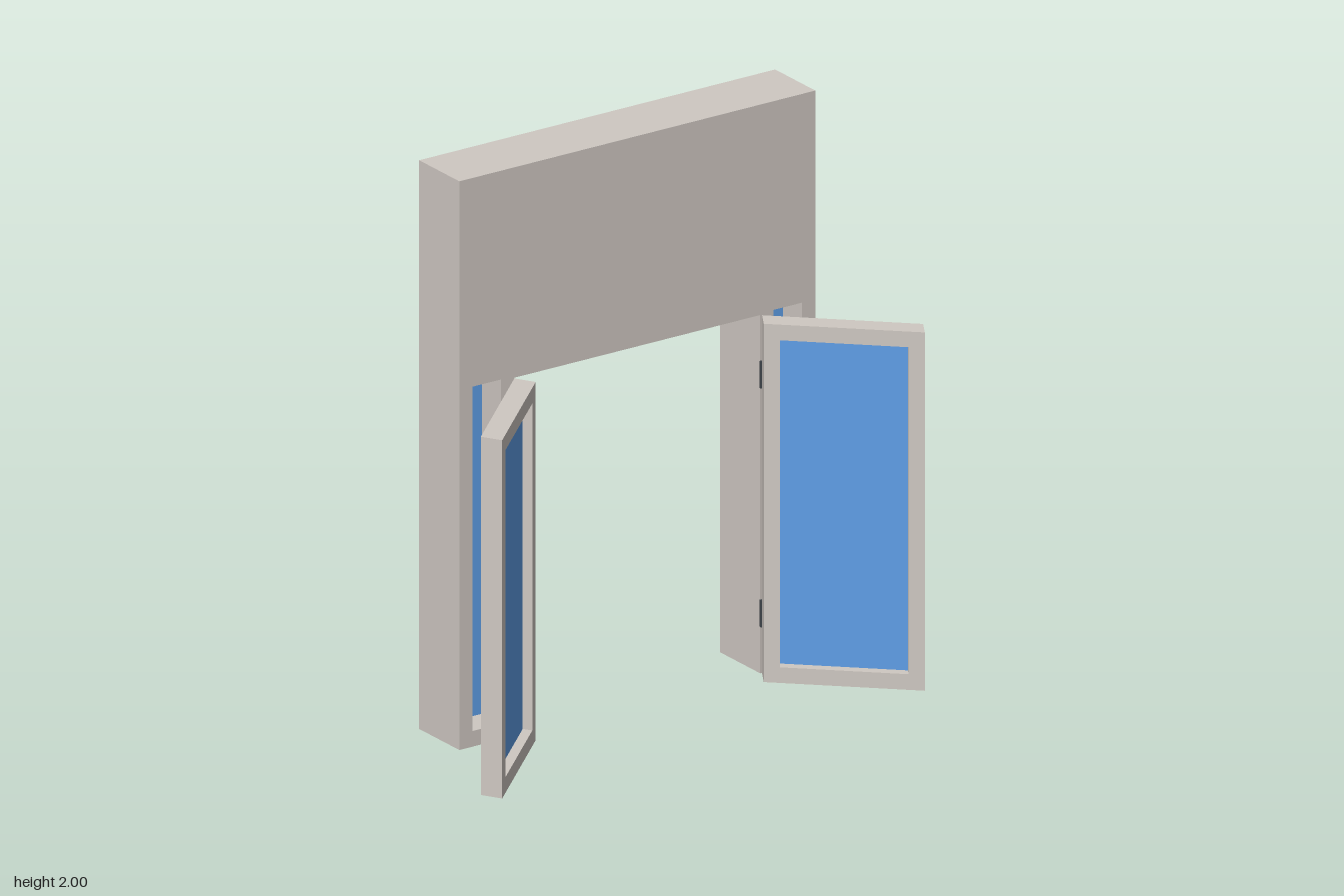
import * as THREE from 'three';

const stone = new THREE.MeshStandardMaterial({ color: 0xcfc8c2 });
const glass = new THREE.MeshStandardMaterial({ color: 0x5f9fe8 });
const metal = new THREE.MeshStandardMaterial({ color: 0x3c4248 });

const WALL_HALF = 0.71, WALL_BACK = -0.335, WALL_DEPTH = 0.23;
const OPENING_HALF = 0.49, OPENING_TOP = 1.26;

function rectangle(Type, x0, y0, x1, y1) {
  const r = new Type();
  r.moveTo(x0, y0).lineTo(x1, y0).lineTo(x1, y1).lineTo(x0, y1).closePath();
  return r;
}

function addMesh(parent, name, geometry, material) {
  const mesh = new THREE.Mesh(geometry, material);
  mesh.name = name;
  parent.add(mesh);
  return mesh;
}

// Door leaf: framed panel laid out on a unit plan, then set along its open direction
function createDoor(side) {
  const door = new THREE.Group();
  door.name = side > 0 ? 'leftDoor' : 'rightDoor';
  const shape = rectangle(THREE.Shape, 0, 0, 1, OPENING_TOP);
  shape.holes.push(rectangle(THREE.Path, 0.1, 0.055, 0.9, 1.205));
  const frame = new THREE.ExtrudeGeometry(shape, { depth: 1, bevelEnabled: false });
  const pane = new THREE.BoxGeometry(0.8, 1.15, 0.1).translate(0.5, 0.63, 0.5);

  const along = new THREE.Vector3(0.388, 0, 0.365 * side);
  const across = new THREE.Vector3(-0.039 * side, 0, 0.066);
  const placement = new THREE.Matrix4()
    .makeBasis(along, new THREE.Vector3(0, 1, 0), across)
    .setPosition(side > 0 ? 0.494 : -0.882, 0, side > 0 ? -0.1 : 0.265);
  addMesh(door, 'doorFrame', frame.applyMatrix4(placement), stone);
  addMesh(door, 'doorGlass', pane.applyMatrix4(placement), glass);

  // Hinges between leaf and wall
  for (const y of [0.212, 1.052]) {
    const hinge = addMesh(door, 'hinge', new THREE.CylinderGeometry(0.007, 0.007, 0.095, 12), metal);
    hinge.position.set(0.494 * side, y, -0.101);
  }
  return door;
}

export function createModel() {
  const model = new THREE.Group();
  model.name = 'doorway';

  // Wall with the doorway cut out and a narrow side light in each jamb
  const outline = new THREE.Shape([
    [-WALL_HALF, 0], [-OPENING_HALF, 0], [-OPENING_HALF, OPENING_TOP], [OPENING_HALF, OPENING_TOP],
    [OPENING_HALF, 0], [WALL_HALF, 0], [WALL_HALF, 2], [-WALL_HALF, 2],
  ].map(([x, y]) => new THREE.Vector2(x, y)));
  for (const side of [-1, 1]) {
    outline.holes.push(rectangle(THREE.Path, 0.6 * side - 0.057, 0.055, 0.6 * side + 0.057, 1.266));
  }
  const wall = new THREE.ExtrudeGeometry(outline, { depth: WALL_DEPTH, bevelEnabled: false });
  addMesh(model, 'wall', wall, stone).position.z = WALL_BACK;

  for (const side of [-1, 1]) {
    const pane = addMesh(model, 'sideLightGlass', new THREE.BoxGeometry(0.114, 1.211, 0.012), glass);
    pane.position.set(0.6 * side, 0.6605, WALL_BACK + WALL_DEPTH / 2);
    model.add(createDoor(side));
  }
  return model;
}
